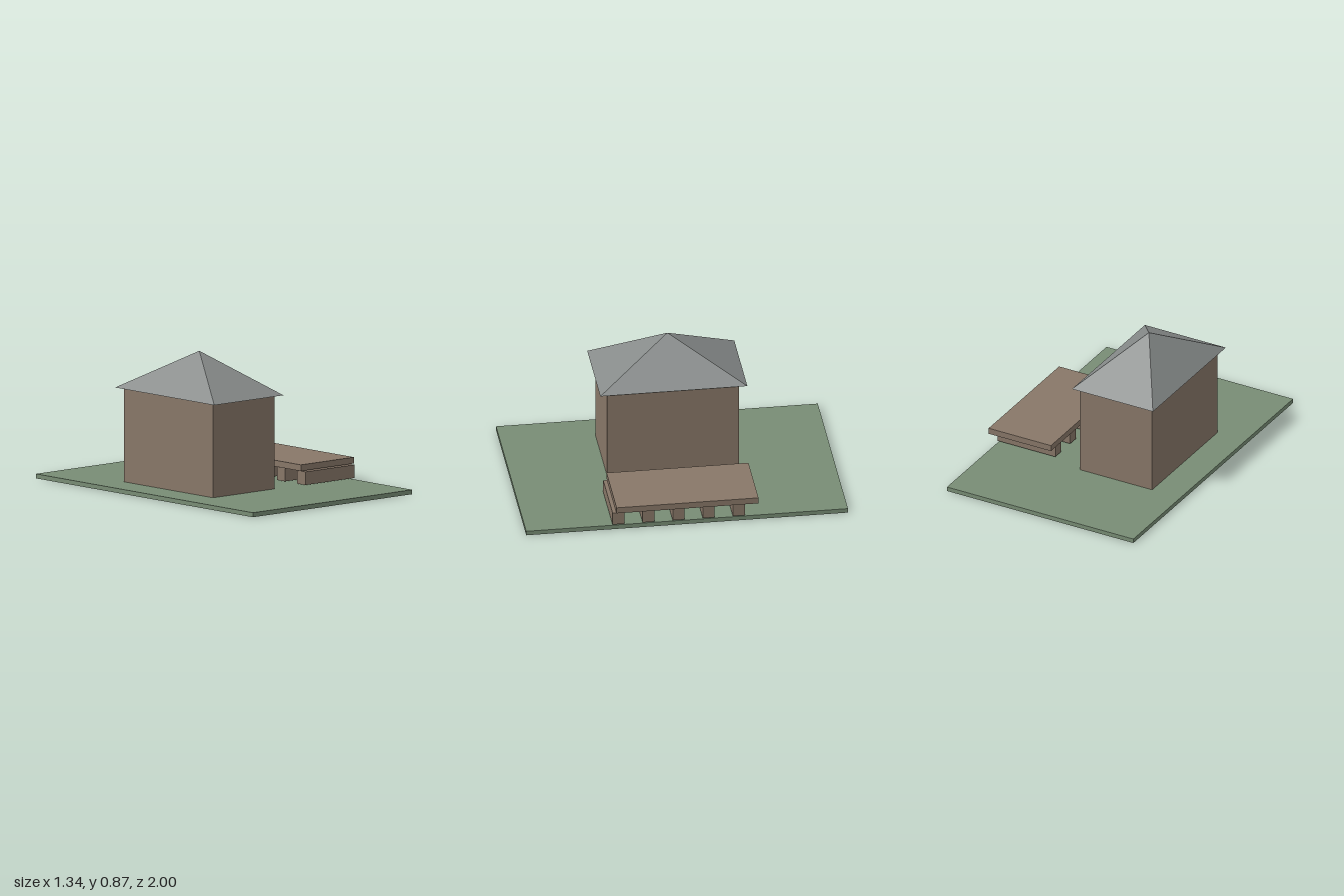
import * as THREE from 'three';

export function createModel() {
  const model = new THREE.Group();
  const material = (name, color) => {
    const m = new THREE.MeshStandardMaterial({ color });
    m.name = name;
    return m;
  };
  const grass = material('grass green', 0x788d75);
  const timber = material('timber brown', 0x887768);
  const slate = material('slate grey', 0x868a89);

  // Box given by its lower and upper bounds on each axis
  const box = (name, mat, [x0, x1], [y0, y1], [z0, z1], parent = model) => {
    const mesh = new THREE.Mesh(new THREE.BoxGeometry(x1 - x0, y1 - y0, z1 - z0), mat);
    mesh.position.set((x0 + x1) / 2, (y0 + y1) / 2, (z0 + z1) / 2);
    mesh.name = name;
    parent.add(mesh);
    return mesh;
  };

  // Ground plate
  box('ground', grass, [-0.67, 0.647], [0, 0.028], [-1, 1]);

  // House walls and four-sided pyramid roof with overhanging eaves
  const house = new THREE.Group();
  house.name = 'house';
  model.add(house);
  box('walls', timber, [-0.47, 0.039], [0.028, 0.614], [-0.41, 0.41], house);

  const roofGeometry = new THREE.ConeGeometry(Math.SQRT1_2, 0.253, 4).toNonIndexed();
  roofGeometry.rotateY(Math.PI / 4);
  roofGeometry.scale(0.572, 1, 0.914);
  roofGeometry.computeVertexNormals();
  const roof = new THREE.Mesh(roofGeometry, slate);
  roof.position.set(-0.216, 0.614 + 0.253 / 2, 0);
  roof.name = 'roof';
  house.add(roof);

  // Low deck resting on a row of evenly spaced cross beams
  const deck = new THREE.Group();
  deck.name = 'deck';
  model.add(deck);
  box('deckSlab', timber, [0.228, 0.668], [0.122, 0.161], [-0.441, 0.441], deck);
  for (let i = 0; i < 5; i++) {
    const z = 0.427 - i * 0.187;
    box('crossBeam', timber, [0.244, 0.653], [0.036, 0.118], [z - 0.037, z + 0.037], deck);
  }

  return model;
}
